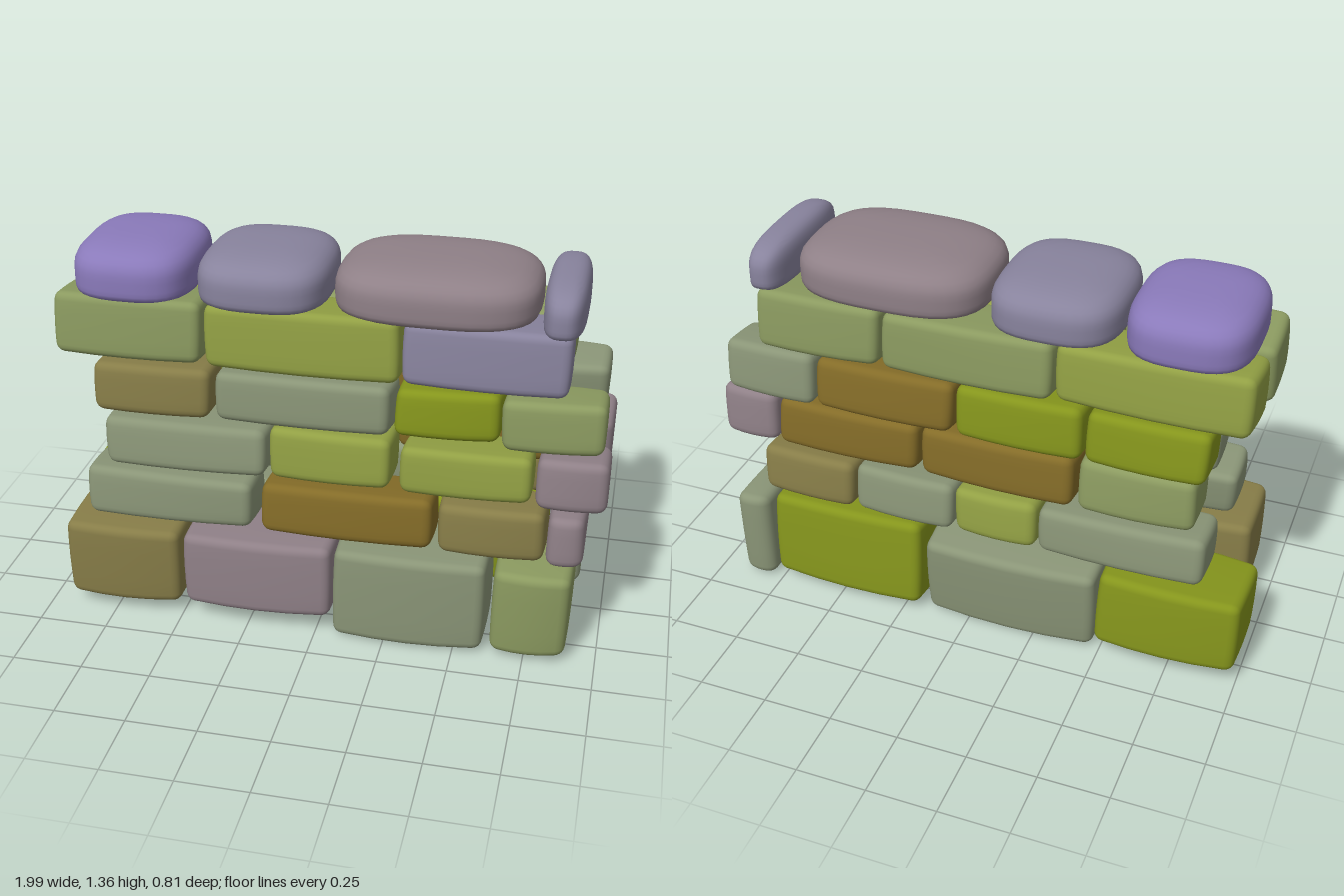
import * as THREE from 'three';
import { mergeVertices } from 'three/addons/utils/BufferGeometryUtils.js';

const COLORS = {
  greyGreen: 0x8a9577, moss: 0x8b9a60, lime: 0x92a044, brightLime: 0x85951c, khaki: 0x877d48,
  ochre: 0x846c28, mauve: 0x8f8087, slate: 0x88839d, violet: 0x8a7aba,
};

// Each course: vertical span, depth span, inward tilt, then stones as [colour, x0, x1, (y0, y1), (z0, z1), (tilt)]
const FRONT = [
  { y: [0.02, 0.36], z: [0.05, 0.40], tilt: 0, stones: [
    ['khaki', -0.93, -0.50, 0.05, 0.36], ['mauve', -0.485, 0.06, 0.07, 0.36],
    ['greyGreen', 0.06, 0.61, 0.005, 0.365], ['moss', 0.63, 0.90, 0.02, 0.36]] },
  { y: [0.36, 0.56], z: [0.095, 0.345], tilt: 0.06, stones: [
    ['greyGreen', -0.855, -0.235], ['ochre', -0.205, 0.405], ['khaki', 0.42, 0.795], ['mauve', 0.80, 0.93]] },
  { y: [0.555, 0.755], z: [0.06, 0.315], tilt: 0.09, stones: [
    ['greyGreen', -0.785, -0.19], ['lime', -0.18, 0.255, 0.56, 0.77],
    ['lime', 0.28, 0.735, 0.56, 0.75], ['mauve', 0.75, 0.99, 0.55, 0.75, 0.065, 0.305]] },
  { y: [0.75, 0.955], z: [0.05, 0.29], tilt: 0.1, stones: [
    ['khaki', -0.825, -0.395], ['greyGreen', -0.385, 0.245],
    ['brightLime', 0.25, 0.615, 0.75, 0.95, 0.0, 0.265], ['moss', 0.62, 0.965]] },
  { y: [0.93, 1.18], z: [-0.035, 0.245], tilt: 0.09, stones: [
    ['moss', -0.965, -0.43, 0.94, 1.19, -0.02, 0.265], ['lime', -0.425, 0.265], ['slate', 0.27, 0.84]] },
];
const BACK = [
  { y: [0.01, 0.36], z: [-0.40, -0.05], tilt: 0.05, stones: [
    ['brightLime', -1.0, -0.485, 0.05, 0.36], ['greyGreen', -0.485, 0.165, 0.005, 0.365, -0.40, -0.015, -0.09],
    ['brightLime', 0.175, 0.775, 0.015, 0.385, -0.41, -0.06, 0.09],
    ['greyGreen', 0.78, 0.91, 0.01, 0.365, -0.405, -0.115, 0]] },
  { y: [0.365, 0.565], z: [-0.36, -0.10], tilt: 0.1, stones: [
    ['greyGreen', -0.855, -0.255], ['lime', -0.25, 0.06], ['greyGreen', 0.065, 0.445],
    ['khaki', 0.45, 0.815, 0.365, 0.56, -0.355, -0.145]] },
  { y: [0.55, 0.765], z: [-0.315, -0.045], tilt: 0.09, stones: [
    ['moss', -0.795, -0.375], ['ochre', -0.37, 0.205], ['ochre', 0.21, 0.765], ['mauve', 0.765, 0.985]] },
  { y: [0.745, 0.96], z: [-0.31, -0.065], tilt: 0.1, stones: [
    ['brightLime', -0.825, -0.395], ['brightLime', -0.39, 0.075], ['ochre', 0.08, 0.605],
    ['greyGreen', 0.61, 0.955, 0.745, 0.96, -0.31, -0.08]] },
  { y: [0.935, 1.175], z: [-0.28, -0.015], tilt: 0.08, stones: [
    ['lime', -0.955, -0.275, 0.945, 1.185], ['moss', -0.27, 0.355], ['moss', 0.36, 0.835]] },
];
const CAPS = [['violet', -0.915, -0.48, 1.362], ['slate', -0.47, -0.005, 1.352],
  ['mauve', 0.01, 0.715, 1.357], ['slate', 0.725, 0.87, 1.337]];

let seed = 7;
const jitter = (a) => {
  seed = (seed * 16807) % 2147483647;
  return (seed / 2147483647 * 2 - 1) * a;
};

// Move every vertex by a rule, weld, and give smooth normals
function shape(geo, rule) {
  const p = geo.attributes.position;
  const v = new THREE.Vector3();
  for (let i = 0; i < p.count; i++) {
    rule(v.fromBufferAttribute(p, i));
    p.setXYZ(i, v.x, v.y, v.z);
  }
  geo.deleteAttribute('uv');
  geo.deleteAttribute('normal');
  const out = mergeVertices(geo, 1e-4);
  out.computeVertexNormals();
  return out;
}

// Rounded block with bulging long faces and nudged corners
function blockGeometry(w, h, d) {
  const half = new THREE.Vector3(w / 2, h / 2, d / 2);
  const r = Math.min(0.032, w * 0.25);
  const core = half.clone().subScalar(r);
  const low = core.clone().negate();
  const corners = Array.from({ length: 8 }, () => new THREE.Vector3(jitter(0.006), jitter(0.006), jitter(0.006)));
  // Grid lines: three inside each rounded edge, the rest across the flat
  const grid = (t, size) => {
    const k = Math.round(Math.abs(t) * 5);
    return Math.sign(t) * [0, (size - r) / 2, size - r, size - r * 0.58, size - r * 0.25, size][k];
  };
  return shape(new THREE.BoxGeometry(2, 2, 2, 10, 10, 10), (v) => {
    v.set(grid(v.x, half.x), grid(v.y, half.y), grid(v.z, half.z));
    const inner = v.clone().clamp(low, core);
    v.sub(inner).setLength(r).add(inner);
    const u = v.clone().divide(half);
    const [a, b, c] = [u.x * u.x, u.y * u.y, u.z * u.z];
    v.x *= 1 - 0.015 * (b + c);
    v.y *= 1 - 0.03 * a - 0.015 * c;
    v.z *= 1 - 0.11 * a - 0.015 * b;
    corners.forEach((n, k) => {
      const weight = [u.x, u.y, u.z].reduce((s, f, i) => s * (0.5 + ((k >> i) & 1 ? f : -f) / 2), 1);
      v.addScaledVector(n, weight);
    });
  });
}

// Pillow-shaped capstone, resting at y = 0: nearly flat underside, domed top
function capGeometry(w, h, d) {
  const norm = (a, b, k) => Math.pow(Math.pow(Math.abs(a), k) + Math.pow(Math.abs(b), k), 1 / k);
  const base = h * 0.42;
  return shape(new THREE.BoxGeometry(2, 2, 2, 10, 10, 10), (v) => {
    const m = Math.max(Math.abs(v.x), Math.abs(v.z));
    const plan = m > 0 ? norm(v.x, v.z, 3.1) / m : 1;
    const n = norm(m, v.y, v.y < 0 ? 8 : 3);
    const y = base + v.y / n * (v.y < 0 ? base : h - base);
    v.set(v.x / plan / n * w / 2, y, v.z / plan / n * d / 2);
  });
}

export function createModel() {
  const wall = new THREE.Group();
  wall.name = 'dryStoneWall';
  const mats = {};
  for (const [name, color] of Object.entries(COLORS)) {
    mats[name] = new THREE.MeshStandardMaterial({ color });
    mats[name].name = name;
  }

  // Two leaning faces of coursed stones
  const addFace = (name, courses, sign) => {
    const face = new THREE.Group();
    face.name = name;
    courses.forEach((row, r) => row.stones.forEach((stoneData, i) => {
      const [color, x0, x1, y0 = row.y[0], y1 = row.y[1], z0 = row.z[0], z1 = row.z[1], tilt = row.tilt] = stoneData;
      const s = Math.abs(Math.sin(tilt)) * 0.8;
      const h = (y1 - y0) - (z1 - z0) * s;
      const d = (z1 - z0) - (y1 - y0) * s;
      const stone = new THREE.Mesh(blockGeometry(x1 - x0, h, d), mats[color]);
      stone.name = `${name}Course${r + 1}Stone${i + 1}`;
      stone.position.set((x0 + x1) / 2, (y0 + y1) / 2, (z0 + z1) / 2);
      stone.rotation.x = -sign * tilt;
      face.add(stone);
    }));
    wall.add(face);
  };
  addFace('frontFace', FRONT, 1);
  addFace('backFace', BACK, -1);

  // Capstones across the top
  CAPS.forEach(([color, x0, x1, top], i) => {
    const cap = new THREE.Mesh(capGeometry(x1 - x0, top - 1.17, 0.53), mats[color]);
    cap.name = `capstone${i + 1}`;
    cap.position.set((x0 + x1) / 2, 1.17, -0.005);
    wall.add(cap);
  });
  return wall;
}
